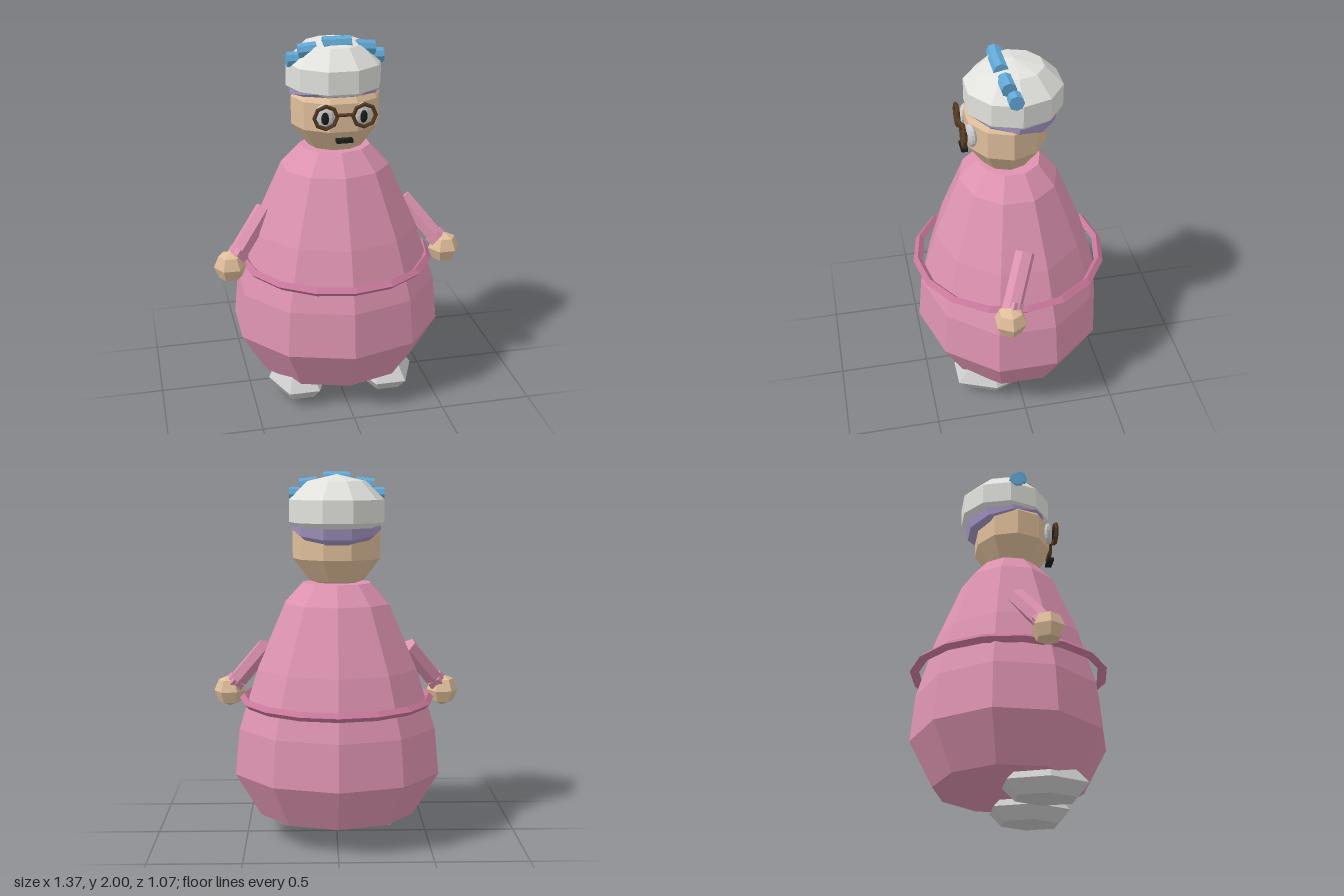
import * as THREE from 'three';

const mat = (color) => new THREE.MeshStandardMaterial({ color, flatShading: true });
const PINK = mat(0xdd93b0), TRIM = mat(0xc9789b), SKIN = mat(0xdfbe9b), CAP = mat(0xe2e2de),
  HAIR = mat(0xa595c4), BLUE = mat(0x62a8d6), SHOE = mat(0xdcdcde), FRAME = mat(0x553a22),
  WHITE = mat(0xececec), BLACK = mat(0x1c1c1c);

export function createModel() {
  const group = new THREE.Group();

  const add = (name, geometry, material, x = 0, y = 0, z = 0) => {
    const mesh = new THREE.Mesh(geometry, material);
    mesh.name = name;
    mesh.position.set(x, y, z);
    group.add(mesh);
    return mesh;
  };

  // Faceted ellipsoid
  const ball = (name, material, pos, radii, across, rows) => {
    const mesh = add(name, new THREE.SphereGeometry(1, across, rows), material, ...pos);
    mesh.scale.set(...radii);
    return mesh;
  };

  // Cylinder running from one point to another
  const rod = (name, material, from, to, r, sides) => {
    const a = new THREE.Vector3(...from), b = new THREE.Vector3(...to);
    const dir = b.clone().sub(a);
    const mesh = add(name, new THREE.CylinderGeometry(r, r, dir.length(), sides), material);
    mesh.position.copy(a).add(b).multiplyScalar(0.5);
    mesh.quaternion.setFromUnitVectors(new THREE.Vector3(0, 1, 0), dir.normalize());
    return mesh;
  };

  // Pear-shaped gown, closed at both ends
  const profile = [[0, 0.14], [0.44, 0.14], [0.58, 0.38], [0.555, 0.63], [0.45, 0.95],
    [0.294, 1.3], [0.19, 1.41], [0, 1.41]].map(([r, y]) => new THREE.Vector2(r, y));
  add('gown', new THREE.LatheGeometry(profile, 10), PINK).scale.z = 0.9;

  // Diamond-section belt
  add('belt', new THREE.TorusGeometry(0.51, 0.025, 4, 16), TRIM, 0, 0.773, 0).rotation.x = Math.PI / 2;

  // Head, hair tilted down at the back, and cap
  ball('head', SKIN, [0, 1.614, 0.016], [0.25, 0.24, 0.225], 10, 5);
  ball('hair', HAIR, [0, 1.745, -0.018], [0.25, 0.17, 0.25], 10, 5).rotation.x = -0.2;
  ball('cap', CAP, [0, 1.795, -0.026], [0.268, 0.193, 0.268], 10, 5);

  // Mouth and bridge of the glasses
  add('mouth', new THREE.BoxGeometry(0.085, 0.02, 0.035), BLACK, 0, 1.5, 0.235);
  rod('glassesBridge', FRAME, [-0.045, 1.64, 0.25], [0.045, 1.64, 0.25], 0.009, 6);

  // Middle hair roller
  rod('rollerMiddle', BLUE, [-0.073, 1.96, 0.048], [0.073, 1.96, 0.048], 0.04, 8);

  for (const s of [1, -1]) {
    const side = s > 0 ? 'left' : 'right';

    // Eyes behind round glasses
    ball(side + 'Eye', WHITE, [s * 0.1, 1.627, 0.212], [0.052, 0.064, 0.025], 10, 8).rotation.y = s * 0.3;
    ball(side + 'Pupil', BLACK, [s * 0.099, 1.622, 0.234], [0.022, 0.034, 0.01], 8, 6);
    add(side + 'GlassesRim', new THREE.TorusGeometry(0.059, 0.011, 5, 8), FRAME, s * 0.1, 1.632, 0.25);

    // Rollers stepping down the side of the cap
    rod(side + 'RollerUpper', BLUE, [s * 0.105, 1.935, 0.04], [s * 0.2, 1.925, 0.034], 0.04, 8);
    rod(side + 'RollerLower', BLUE, [s * 0.18, 1.88, 0.008], [s * 0.255, 1.88, 0.008], 0.04, 8);

    // Arm, cuff and hand
    rod(side + 'Arm', PINK, [s * 0.385, 1.06, -0.012], [s * 0.57, 0.83, 0.1], 0.052, 6);
    rod(side + 'Cuff', PINK, [s * 0.54, 0.867, 0.082], [s * 0.563, 0.838, 0.096], 0.058, 5);
    ball(side + 'Hand', SKIN, [s * 0.597, 0.792, 0.108], [0.088, 0.088, 0.088], 6, 4);

    // Foot
    ball(side + 'Foot', SHOE, [s * 0.243, 0.1, 0.147], [0.167, 0.1, 0.237], 6, 4);
  }

  return group;
}
